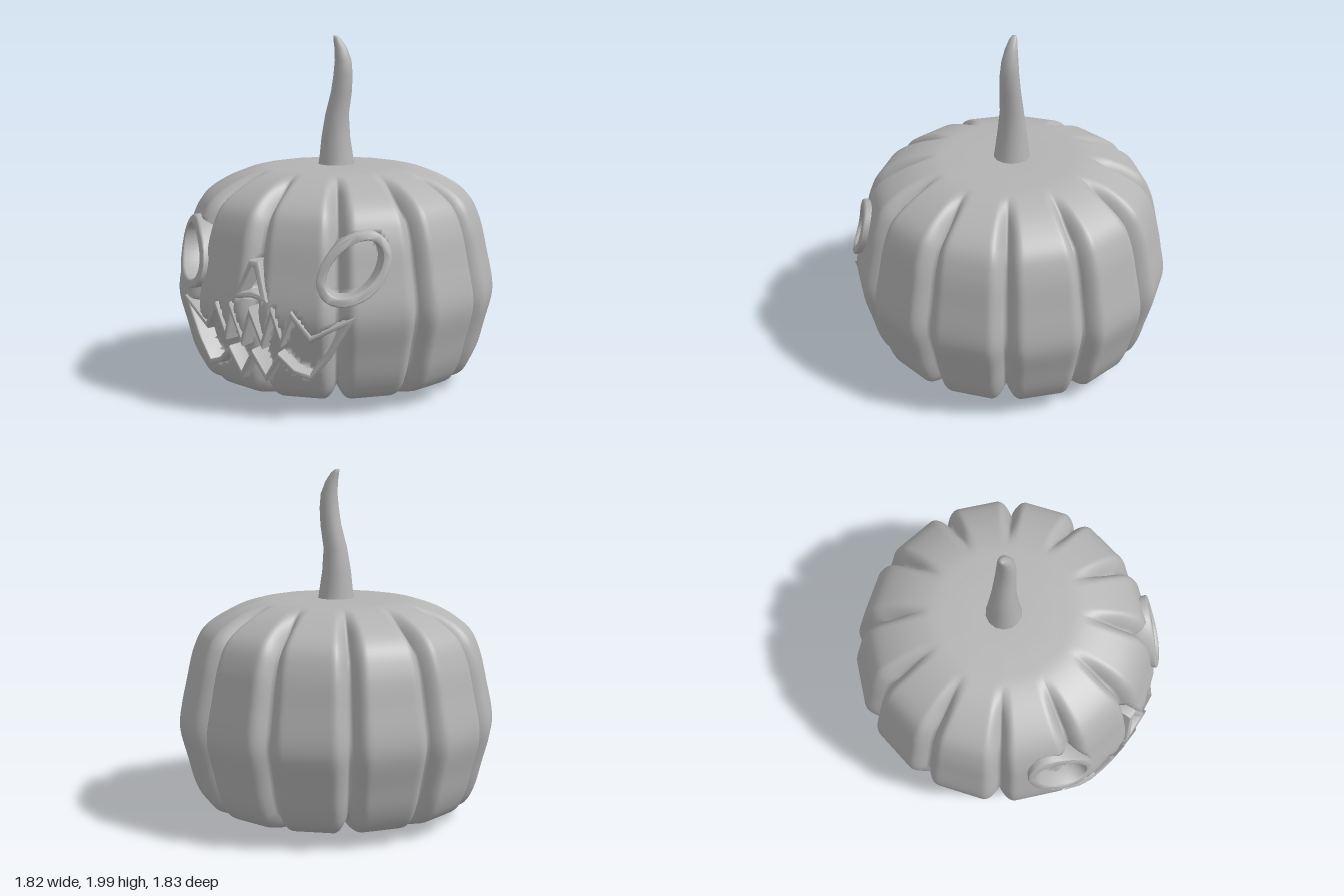
import * as THREE from 'three';
import { toCreasedNormals } from 'three/addons/utils/BufferGeometryUtils.js';

const DEG = Math.PI / 180;
const LOBES = 12, LOBE_TURN = -3 * DEG;      // first lobe sits slightly off the front
const FACE_TURN = -18 * DEG, FACE_R = 0.9;   // the carved face looks a little to its right

// Half outline of the body: radius, height
const profile = new THREE.CatmullRomCurve3([
  [0, 0.008], [0.4, 0.02], [0.62, 0.055], [0.76, 0.11], [0.815, 0.2], [0.86, 0.36], [0.9, 0.52], [0.9, 0.6],
  [0.865, 0.78], [0.82, 0.97], [0.76, 1.09], [0.62, 1.19], [0.45, 1.25], [0.3, 1.262], [0, 1.265],
].map(([r, y]) => new THREE.Vector3(r, y, 0)));
const ROWS = 100;
const outline = profile.getSpacedPoints(ROWS);

// Body radius at a height on the sides
function radiusAt(y) {
  for (let i = 1; i < outline.length; i++) {
    const a = outline[i - 1], b = outline[i];
    if (y <= b.y) return THREE.MathUtils.mapLinear(y, a.y, b.y, a.x, b.x);
  }
  return 0;
}

// Closed surface from rings: at(row, angle) gives a point, rows run upwards
function loft(rows, cols, at) {
  const pos = [], idx = [];
  for (let i = 0; i <= rows; i++) {
    for (let j = 0; j < cols; j++) {
      pos.push(...at(i, (j / cols) * 2 * Math.PI));
      if (i === rows) continue;
      const a = i * cols + j, b = i * cols + ((j + 1) % cols);
      idx.push(a, b, b + cols, a, b + cols, a + cols);
    }
  }
  const g = new THREE.BufferGeometry();
  g.setAttribute('position', new THREE.Float32BufferAttribute(pos, 3));
  g.setIndex(idx);
  g.computeVertexNormals();
  return g;
}

// Face outlines, in arc length across the face and height
const mirror = (pts) => pts.map((p) => new THREE.Vector2(-p.x, p.y)).reverse();

const eye = Array.from({ length: 32 }, (_, i) => {
  const t = (i / 32) * 2 * Math.PI;
  return new THREE.Vector2(0.205 * Math.cos(t), 0.135 * Math.sin(t))
    .rotateAround(new THREE.Vector2(), 40 * DEG)
    .add(new THREE.Vector2(36 * DEG * FACE_R, 0.825));
});
const nose = [[-0.08, 0.66], [0, 0.675], [0.08, 0.66], [0.018, 0.83], [-0.018, 0.83]]
  .map(([x, y]) => new THREE.Vector2(x, y));

// Right half of the toothed mouth: degrees from the middle, height
const lowerTeeth = [[0, 0.35], [5, 0.225], [10, 0.35], [15, 0.275], [21, 0.245], [27, 0.36], [34.5, 0.56]];
const upperTeeth = [[21, 0.455], [15, 0.58], [11, 0.43], [8, 0.59], [4, 0.41], [0, 0.58]];
const halfMouth = [...lowerTeeth, ...upperTeeth].map(([d, y]) => new THREE.Vector2(d * DEG * FACE_R, y));
const mouth = [...halfMouth, ...mirror(halfMouth).slice(1, -1)];

function inside(pts, x, y) {
  let hit = false;
  pts.forEach((p, i) => {
    const q = pts[(i + 1) % pts.length];
    if (p.y > y !== q.y > y && x < p.x + ((y - p.y) / (q.y - p.y)) * (q.x - p.x)) hit = !hit;
  });
  return hit;
}

// Moves a counter-clockwise outline outwards by d, with limited mitres
function offset(pts, d) {
  const n = pts.length;
  return pts.map((p, i) => {
    const e1 = p.clone().sub(pts[(i + n - 1) % n]).normalize();
    const e2 = pts[(i + 1) % n].clone().sub(p).normalize();
    const n1 = new THREE.Vector2(e1.y, -e1.x), n2 = new THREE.Vector2(e2.y, -e2.x);
    const m = n1.clone().add(n2).normalize();
    return p.clone().addScaledVector(m, d / Math.max(m.dot(n1), 0.3));
  });
}

// Raised rim along an outline, bent around the body
function rim(pts, width, depth, outerRadius) {
  const bevel = 0.01;
  const shape = new THREE.Shape(offset(pts, width / 2 - bevel));
  shape.holes.push(new THREE.Path(offset(pts, bevel - width / 2)));
  const g = new THREE.ExtrudeGeometry(shape, {
    depth, bevelEnabled: true, bevelSize: bevel, bevelThickness: 0.012, bevelSegments: 2,
  });
  g.translate(0, 0, -depth - 0.012);
  const p = g.attributes.position;
  for (let i = 0; i < p.count; i++) {
    const a = FACE_TURN + p.getX(i) / FACE_R, y = p.getY(i);
    const r = outerRadius(y) + p.getZ(i);
    p.setXYZ(i, r * Math.sin(a), y, r * Math.cos(a));
  }
  return toCreasedNormals(g, 40 * DEG);
}

// Body with flat-faced lobes, narrow grooves and sunken face openings
function bodyGeometry() {
  const openings = [eye, mirror(eye), nose, mouth];
  const step = (2 * Math.PI) / LOBES;
  return loft(ROWS, 360, (i, angle) => {
    const p = outline[i];
    const t = outline[Math.min(i + 1, ROWS)].clone().sub(outline[Math.max(i - 1, 0)]).normalize();
    const turn = (angle - LOBE_TURN) / step;
    const a = (turn - Math.round(turn)) * step;
    const edge = Math.max(0, (Math.abs(a) / DEG - 8.5) / 6.5);
    const top = p.y > 0.6;
    const fade = top ? THREE.MathUtils.smoothstep(p.x, 0.4, 0.72) : THREE.MathUtils.smoothstep(p.x, 0, 0.8);
    const cut = 0.105 * fade * edge * edge;
    let r = p.x / Math.cos(a) - t.y * cut;
    const y = p.y + t.x * cut;
    const rel = angle - FACE_TURN;
    const s = Math.atan2(Math.sin(rel), Math.cos(rel)) * FACE_R;
    if (y > 0.2 && y < 1.05 && openings.some((o) => inside(o, s, y))) r -= 0.06;
    return [r * Math.sin(angle), y, r * Math.cos(angle)];
  });
}

// Bent, tapering stalk
function stemGeometry() {
  // centre x, y, z and radius
  const rings = [
    [0, 1.24, -0.01, 0.108], [0, 1.3, -0.01, 0.098], [-0.003, 1.42, -0.01, 0.083], [0.004, 1.55, -0.01, 0.068],
    [0.03, 1.68, -0.008, 0.06], [0.04, 1.78, -0.006, 0.055], [0.04, 1.86, -0.008, 0.048],
    [0.025, 1.93, -0.012, 0.036], [0.004, 1.98, -0.018, 0.023], [-0.008, 1.998, -0.02, 0.012], [-0.008, 2, -0.02, 0],
  ];
  return loft(rings.length - 1, 14, (i, a) => {
    const [x, y, z, r] = rings[i];
    return [x + r * Math.sin(a), y, z + r * Math.cos(a)];
  });
}

export function createModel() {
  const clay = new THREE.MeshStandardMaterial({ color: 0xb3b3b3 });
  clay.name = 'plain grey';
  const model = new THREE.Group();
  model.name = 'carvedPumpkin';
  const add = (name, geometry) => {
    const mesh = new THREE.Mesh(geometry, clay);
    mesh.name = name;
    model.add(mesh);
  };

  add('body', bodyGeometry());
  add('stem', stemGeometry());

  // Face rims
  const eyeRadius = (y) => radiusAt(y) + 0.04;
  add('leftEyeRim', rim(eye, 0.05, 0.11, eyeRadius));
  add('rightEyeRim', rim(mirror(eye), 0.05, 0.11, eyeRadius));
  add('noseRim', rim(nose, 0.036, 0.1, (y) => radiusAt(y) + 0.03));
  add('mouthRim', rim(mouth, 0.03, 0.13, (y) => 0.89 + 0.1 * (y - 0.22)));
  return model;
}
